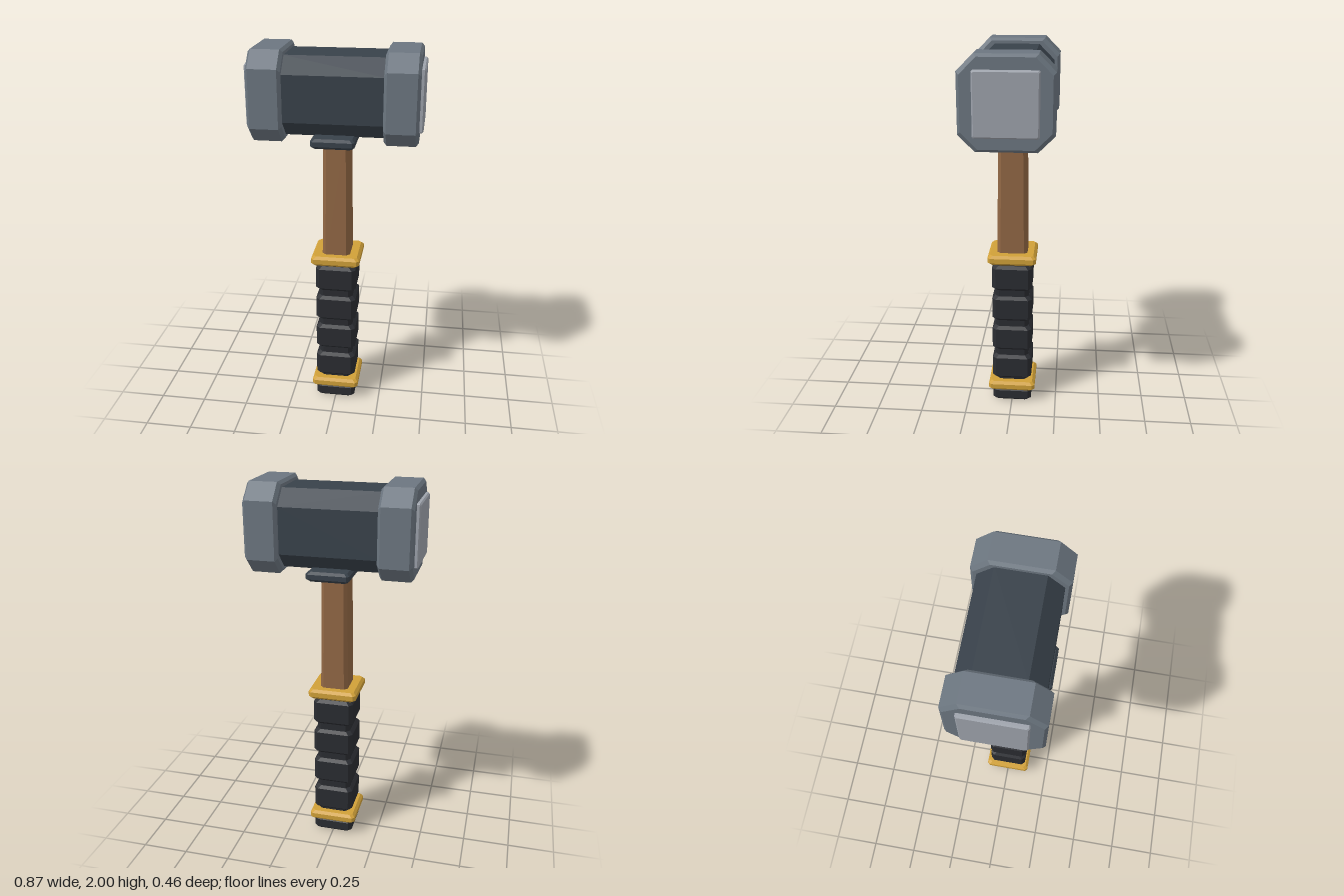
import * as THREE from 'three';
import { ConvexGeometry } from 'three/addons/geometries/ConvexGeometry.js';

const paint = (color) => new THREE.MeshStandardMaterial({ color, flatShading: true });

// Upright block: half width a, half depth b, cut corners c, end bevel e, top scaled by taper
function block(a, b, y0, y1, c, e, taper = 1) {
  const points = [];
  const ring = (y, inset, scale) => {
    const w = a * scale - inset, d = b * scale - inset;
    for (const sx of [-1, 1]) for (const sz of [-1, 1]) {
      points.push(new THREE.Vector3(sx * w, y, sz * (d - c)));
      points.push(new THREE.Vector3(sx * (w - c), y, sz * d));
    }
  };
  ring(y0, e, 1);
  ring(y0 + e, 0, 1);
  ring(y1 - e, 0, taper);
  ring(y1, e, taper);
  return new ConvexGeometry(points);
}

export function createModel() {
  const group = new THREE.Group();
  const darkSteel = paint(0x38414a), steel = paint(0x6c7680), pale = paint(0x9da2ab);
  const wood = paint(0x916744), gold = paint(0xd0a038), rubber = paint(0x2a2c31);

  const add = (name, geometry, material) => {
    const mesh = new THREE.Mesh(geometry, material);
    mesh.name = name;
    group.add(mesh);
  };
  // Lay a block along x at the height of the head
  const lay = (geometry) => geometry.rotateZ(-Math.PI / 2).translate(0, 1.775, 0);

  // Head: core, two striking caps and their face plates
  add('headCore', lay(block(0.196, 0.198, -0.26, 0.26, 0.08, 0.005)), darkSteel);
  for (const [side, s] of [['left', 1], ['right', -1]]) {
    const span = (from, to) => (s > 0 ? [from, to] : [-to, -from]);
    add(side + 'Cap', lay(block(0.225, 0.228, ...span(0.246, 0.417), 0.08, 0.014)), steel);
    add(side + 'Face', lay(block(0.155, 0.156, ...span(0.40, 0.437), 0.006, 0.007)), pale);
  }

  // Plate under the head, and the tapering shaft
  add('headPlate', block(0.11, 0.213, 1.535, 1.585, 0.012, 0.013), darkSteel);
  add('shaft', block(0.075, 0.082, 0.86, 1.60, 0.018, 0.002, 0.89), wood);

  // Grip with raised bands
  add('gripCore', block(0.092, 0.092, 0.125, 0.86, 0.022, 0.012), rubber);
  for (let i = 0; i < 4; i++) {
    const y = 0.218 + i * 0.183;
    add('gripBand' + (i + 1), block(0.109, 0.109, y - 0.073, y + 0.073, 0.02, 0.016), rubber);
  }

  // Collars above and below the grip, and the pommel
  add('upperCollar', block(0.13, 0.13, 0.853, 0.907, 0.014, 0.014), gold);
  add('lowerCollar', block(0.13, 0.13, 0.076, 0.13, 0.014, 0.014), gold);
  add('pommel', block(0.109, 0.109, 0, 0.08, 0.018, 0.016), rubber);
  return group;
}
